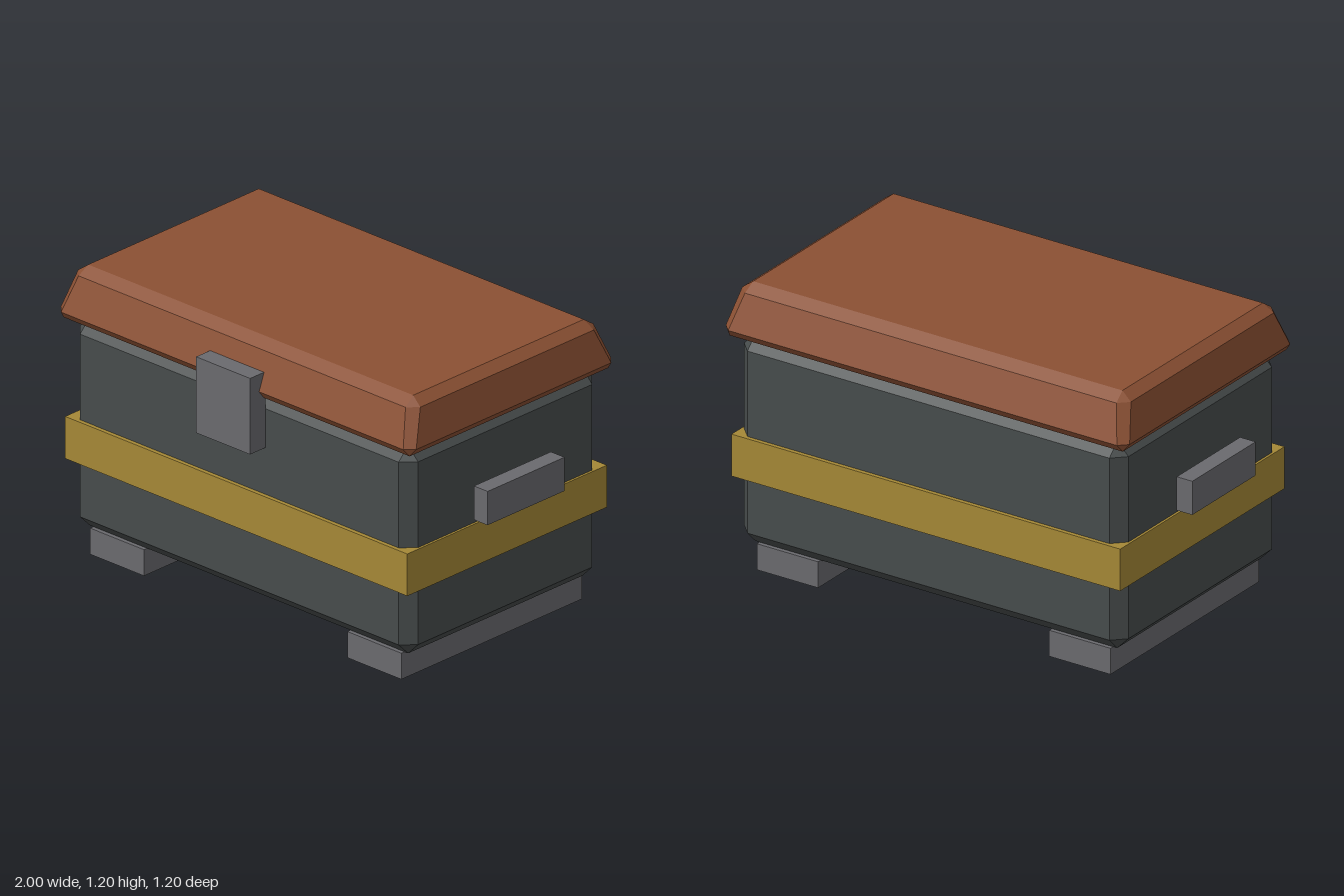
import * as THREE from 'three';
import { ConvexGeometry } from 'three/addons/geometries/ConvexGeometry.js';

const paint = (name, color) => {
  const m = new THREE.MeshStandardMaterial({ color });
  m.name = name;
  return m;
};

// Chamfered block from levels [y, half x, half z, corner cut x, corner cut z]
function chamferedBlock(levels) {
  const points = [];
  for (const [y, hx, hz, cx, cz] of levels) {
    for (const sx of [-1, 1]) for (const sz of [-1, 1]) {
      points.push(new THREE.Vector3(sx * hx, y, sz * (hz - cz)));
      if (cx > 0) points.push(new THREE.Vector3(sx * (hx - cx), y, sz * hz));
    }
  }
  return new ConvexGeometry(points);
}

export function createModel() {
  const group = new THREE.Group();
  group.name = 'chest';
  const slate = paint('slate', 0x474c4c);
  const wood = paint('redBrownWood', 0x8b5033);
  const brass = paint('brass', 0xa58836);
  const steel = paint('greySteel', 0x6a6a6e);
  const midZ = -0.025; // the latch sets the body back slightly

  const add = (name, geometry, material, x, y, z) => {
    const mesh = new THREE.Mesh(geometry, material);
    mesh.name = name;
    mesh.position.set(x, y, z);
    group.add(mesh);
  };
  const box = (name, material, w, h, d, x, y, z) =>
    add(name, new THREE.BoxGeometry(w, h, d), material, x, y, z);

  // Body with chamfered edges
  add('body', chamferedBlock([
    [0.11, 0.838, 0.482, 0, 0],
    [0.163, 0.89, 0.535, 0.052, 0.053],
    [0.932, 0.89, 0.535, 0.052, 0.053],
    [0.985, 0.838, 0.482, 0, 0],
  ]), slate, 0, 0, midZ);

  // Tapered lid
  add('lid', chamferedBlock([
    [0.985, 0.91, 0.55, 0, 0],
    [1.018, 0.935, 0.575, 0.035, 0.035],
    [1.165, 0.9, 0.52, 0.04, 0.04],
    [1.198, 0.855, 0.472, 0, 0],
  ]), wood, 0, 0, midZ);

  // Band around the body
  box('band', brass, 1.8, 0.177, 1.105, 0, 0.483, midZ);

  // Front latch
  box('latch', steel, 0.284, 0.32, 0.086, 0, 0.931, 0.557);

  // Side handles and foot rails
  for (const [side, s] of [['left', 1], ['right', -1]]) {
    box(side + 'Handle', steel, 0.072, 0.142, 0.426, s * 0.964, 0.681, midZ);
    box(side + 'Foot', steel, 0.284, 0.11, 1.0, s * 0.677, 0.055, midZ);
  }
  return group;
}
